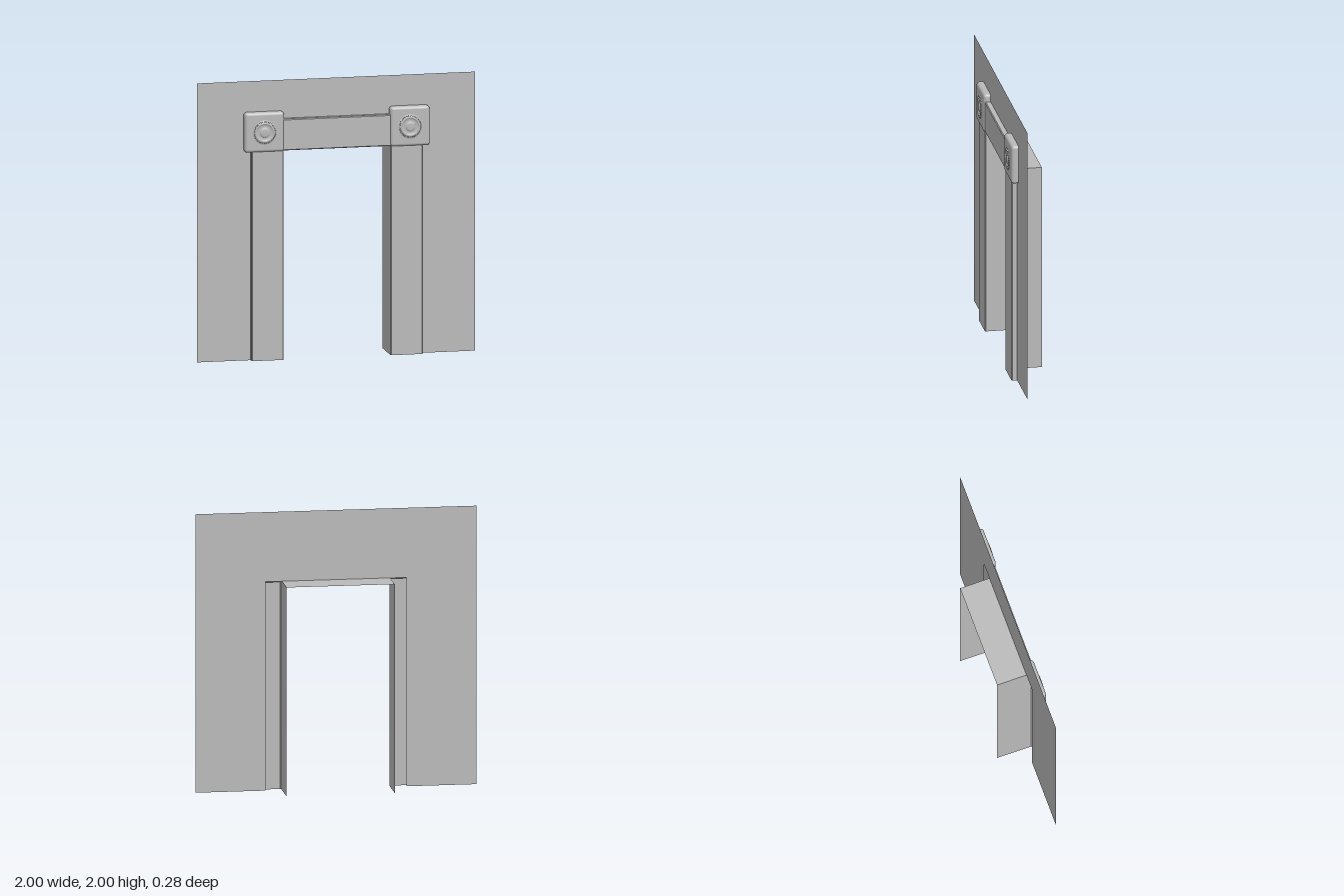
import * as THREE from 'three';
import { RoundedBoxGeometry } from 'three/addons/geometries/RoundedBoxGeometry.js';

const WALL_Z = 0.08, FRONT_Z = 0.12, BACK_Z = -0.14;
const OPEN_X = 0.385, OPEN_Y = 1.5;

const plaster = new THREE.MeshStandardMaterial({ color: 0xbababa, side: THREE.DoubleSide });
plaster.name = 'plain grey';

function add(parent, name, geometry) {
  const mesh = new THREE.Mesh(geometry, plaster);
  mesh.name = name;
  parent.add(mesh);
  return mesh;
}

// Open strip: a cross-section of [x, z] points drawn along y from y0 to y1.
function strip(points, y0, y1) {
  const plane = new THREE.PlaneGeometry(1, 1, points.length - 1, 1);
  const pos = plane.attributes.position;
  for (let i = 0; i < pos.count; i++) {
    const [x, z] = points[i % points.length];
    pos.setXYZ(i, x, i < points.length ? y1 : y0, z);
  }
  const flat = plane.toNonIndexed();
  flat.computeVertexNormals();
  return flat;
}

// Corner block with a softly rounded front and a flat back on the wall.
function blockGeometry() {
  const g = new RoundedBoxGeometry(0.285, 0.285, 0.1, 4, 0.022);
  const pos = g.attributes.position;
  for (let i = 0; i < pos.count; i++) pos.setZ(i, Math.max(pos.getZ(i), 0.001));
  return g;
}

// Round rosette, turned about the z axis.
function rosetteGeometry() {
  const profile = [
    [0.088, -0.001], [0.084, 0.002], [0.076, 0.003], [0.072, 0.008], [0.064, 0.01],
    [0.058, 0.008], [0.054, 0.002], [0.036, 0.002], [0.033, 0.006], [0.029, 0.009],
    [0.02, 0.01], [0, 0.01],
  ].map(([r, h]) => new THREE.Vector2(r, h));
  return new THREE.LatheGeometry(profile, 48).rotateX(Math.PI / 2);
}

export function createModel() {
  const model = new THREE.Group();
  model.name = 'doorway';

  // Thin wall sheet with a cut-out a little wider than the passage
  const outline = [[-1, 0], [-0.5, 0], [-0.5, OPEN_Y], [0.5, OPEN_Y], [0.5, 0], [1, 0], [1, 2], [-1, 2]];
  const wallShape = new THREE.Shape(outline.map(([x, y]) => new THREE.Vector2(x, y)));
  add(model, 'wall', new THREE.ShapeGeometry(wallShape).translate(0, 0, WALL_Z));

  // Lintel soffit
  const soffit = new THREE.PlaneGeometry(OPEN_X * 2, WALL_Z - BACK_Z).rotateX(Math.PI / 2);
  add(model, 'soffit', soffit.translate(0, OPEN_Y, (WALL_Z + BACK_Z) / 2));

  // Header casing: hollow strip turned to run along x
  const header = strip([
    [-1.725, WALL_Z], [-1.725, FRONT_Z - 0.006], [-1.719, FRONT_Z],
    [-1.506, FRONT_Z], [-1.5, FRONT_Z - 0.006], [-1.5, WALL_Z],
  ], -0.4, 0.4).rotateZ(-Math.PI / 2);
  add(model, 'headerCasing', header);

  for (const [side, s] of [['left', 1], ['right', -1]]) {
    // Jamb lining and hollow casing, with the points in left-to-right order
    const jamb = [[s * OPEN_X, WALL_Z], [s * OPEN_X, BACK_Z]];
    const casing = [
      [s * OPEN_X, WALL_Z], [s * OPEN_X, FRONT_Z - 0.006], [s * (OPEN_X + 0.006), FRONT_Z],
      [s * 0.609, FRONT_Z], [s * 0.615, FRONT_Z - 0.006], [s * 0.615, WALL_Z],
    ];
    if (s < 0) casing.reverse();
    else jamb.reverse();
    add(model, side + 'Jamb', strip(jamb, 0, OPEN_Y));
    add(model, side + 'Casing', strip(casing, 0, OPEN_Y));

    // Corner block with its rosette
    const corner = new THREE.Group();
    corner.name = side + 'CornerBlock';
    corner.position.set(s * 0.524, 1.637, WALL_Z);
    model.add(corner);
    add(corner, 'block', blockGeometry());
    add(corner, 'rosette', rosetteGeometry()).position.z = 0.05;

    // Small beads around the rosette
    const beads = new THREE.Group();
    beads.name = 'beads';
    corner.add(beads);
    const beadGeometry = new THREE.SphereGeometry(0.004, 8, 6);
    for (let i = 0; i < 36; i++) {
      const a = (i / 36) * Math.PI * 2;
      add(beads, 'bead', beadGeometry).position.set(Math.cos(a) * 0.076, Math.sin(a) * 0.076, 0.053);
    }
  }
  return model;
}
